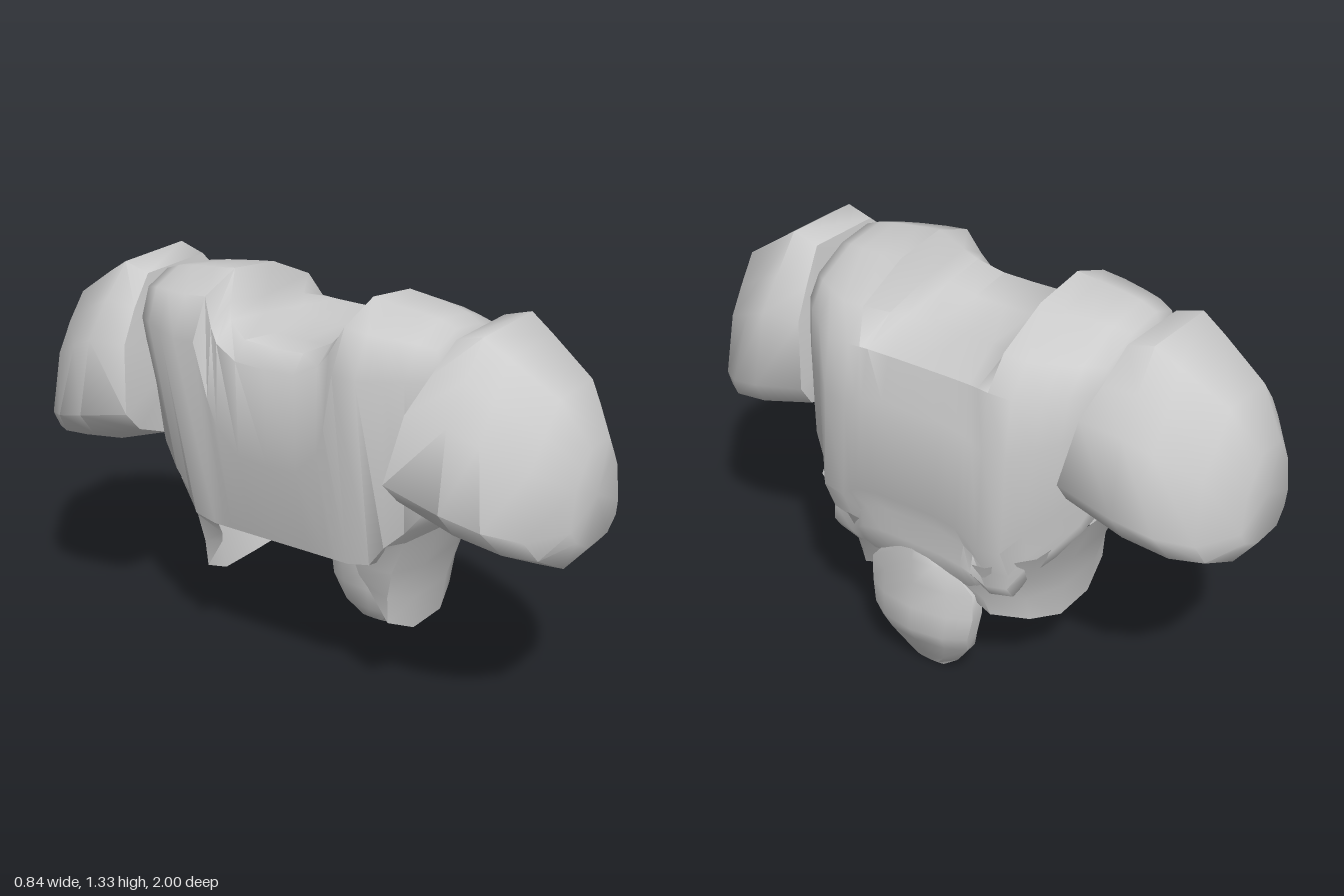
import * as THREE from 'three';
import { toCreasedNormals } from 'three/addons/utils/BufferGeometryUtils.js';

const grey = new THREE.MeshStandardMaterial({ color: 0xcccccc, side: THREE.DoubleSide });
grey.name = 'plain grey';

const { lerp } = THREE.MathUtils;

// Skins rings of [x, y, z] points; closed skins get fan caps and outward faces
function loft(rings, closed = true) {
  const n = rings[0].length;
  const pts = rings.flat();
  const tris = [];
  for (let r = 0; r < rings.length - 1; r++) {
    for (let i = 0; i < (closed ? n : n - 1); i++) {
      const a = r * n + i, b = r * n + (i + 1) % n;
      tris.push([a, b, b + n], [a, b + n, a + n]);
    }
  }
  if (closed) {
    [0, rings.length - 1].forEach((r) => {
      const c = pts.length;
      pts.push([0, 1, 2].map((k) => rings[r].reduce((s, p) => s + p[k], 0) / n));
      for (let i = 0; i < n; i++) {
        const a = r * n + i, b = r * n + (i + 1) % n;
        tris.push(r ? [a, b, c] : [b, a, c]);
      }
    });
    // Turn the faces outward if the enclosed volume is negative
    const v = pts.map((p) => new THREE.Vector3(...p));
    const volume = tris.reduce((s, [a, b, c]) => s + v[a].dot(v[b].clone().cross(v[c])), 0);
    if (volume < 0) tris.forEach((t) => t.reverse());
  }
  const g = new THREE.BufferGeometry();
  g.setAttribute('position', new THREE.Float32BufferAttribute(pts.flat(), 3));
  g.setIndex(tris.flat());
  return toCreasedNormals(g, 1);
}

function add(parent, name, geometry) {
  const mesh = new THREE.Mesh(geometry, grey);
  mesh.name = name;
  parent.add(mesh);
}

const mirrorZ = (rings) => rings.map((ring) => ring.map(([x, y, z]) => [x, y, -z]));

// Cuirass profiles in x, y at the neck dip and at the shoulder hump:
// belt, chest, over the top, down the back
const neck = [
  [.34, .4], [.4, .53], [.375, .6], [.42, .68], [.37, .98], [.33, 1.12],
  [.1, 1.13], [-.12, 1.135], [-.28, 1.155], [-.33, 1.1], [-.32, .78], [-.26, .5],
];
const hump = [
  [.32, .39], [.355, .44], [.35, .49], [.395, .6], [.37, .93], [.34, 1.12],
  [.26, 1.215], [.07, 1.3], [-.13, 1.325], [-.28, 1.27], [-.345, 1.14], [-.26, .5],
];
// One cuirass section: blend of the profiles, narrowed in x and fitted between two heights
function chestRing(z, blend, sx = 1, low = .39, high = 1.325) {
  return hump.map(([hx, hy], i) => {
    const x = lerp(neck[i][0], hx, blend);
    const y = low + (lerp(neck[i][1], hy, blend) - .39) * (high - low) / .935;
    return [-.1 + (x + .1) * sx, y, z > .4 ? z + (y - 1) * .07 : z];
  });
}
const chestHalf = [
  chestRing(.11, .02),
  chestRing(.19, .25),
  chestRing(.22, .5),
  chestRing(.26, 1),
  chestRing(.34, 1, .99, .41, 1.315),
  chestRing(.41, 1, .88, .48, 1.305),
  chestRing(.47, 1, .79, .55, 1.295),
  chestRing(.525, 1, .66, .64, 1.275),
  chestRing(.56, 1, .44, .8, 1.19),
];

// Shoulder guard outline, seen along z
const guard = [
  [-.18, 1.29], [.1, 1.295], [.19, 1.17], [.27, 1.06], [.32, .8], [.27, .71],
  [.1, .645], [-.2, .635], [-.35, .71], [-.42, .8], [-.37, 1.06], [-.28, 1.18],
];
// One guard ring: outline scaled about its middle, leaning and bulging in z
function guardRing(sx, sy, midY, z, lean, bulge) {
  return guard.map(([x, y]) => {
    const dx = (x + .05) * sx, dy = (y - .965) * sy;
    return [dx - .05, midY + dy, z + dy * lean - bulge * dx * dx];
  });
}
const guardRings = [
  guardRing(.98, .8, 1.005, .55, .13, .35),
  guardRing(1, .94, .985, .69, -.06, .15),
  guardRing(.92, .91, .945, .82, -.22, .45),
  guardRing(.72, .77, .89, .93, -.1, .6),
  guardRing(.4, .46, .85, .995, -.04, .6),
];

// Hip plate: open sheet flaring out of the waist, between an upper and a lower edge
const hipTop = [
  [.37, .5, .1], [.37, .52, .27], [.31, .58, .42], [.12, .64, .5],
  [-.1, .63, .5], [-.21, .6, .44], [-.26, .55, .3],
];
const hipHem = [
  [.3, .33, .16], [.31, .3, .25], [.22, .265, .34], [.1, .23, .38],
  [-.06, .23, .38], [-.18, .29, .36], [-.19, .4, .29],
];
const hipRings = [0, .4, .7, 1].map((t) => hipTop.map(([x, y, z], i) => [
  lerp(x, hipHem[i][0], t), lerp(y, hipHem[i][1], t), lerp(z, hipHem[i][2], t) - .1 * t * (1 - t),
]));

// Groin plate ring: height, back x, front x, half width
function groinRing(y, x0, x1, w) {
  return Array.from({ length: 10 }, (_, i) => {
    const a = i / 10 * Math.PI * 2;
    return [(x0 + x1) / 2 + Math.cos(a) * (x1 - x0) / 2, y, Math.sin(a) * w];
  });
}
const groinRings = [
  groinRing(.52, .31, .38, .04),
  groinRing(.45, .28, .385, .13),
  groinRing(.36, .24, .385, .21),
  groinRing(.27, .225, .395, .21),
  groinRing(.19, .23, .405, .195),
  groinRing(.13, .235, .375, .18),
  groinRing(.05, .25, .33, .12),
  groinRing(0, .285, .3, .055),
];

export function createModel() {
  const model = new THREE.Group();
  model.name = 'chestArmour';

  add(model, 'cuirass', loft([...mirrorZ(chestHalf).reverse(), chestRing(0, 0), ...chestHalf]));
  add(model, 'groinPlate', loft(groinRings));

  // Parts on both sides
  for (const side of ['front', 'back']) {
    const place = (rings) => (side === 'front' ? rings : mirrorZ(rings));
    add(model, side + 'ShoulderGuard', loft(place(guardRings)));
    add(model, side + 'HipPlate', loft(place(hipRings), false));
  }
  return model;
}
